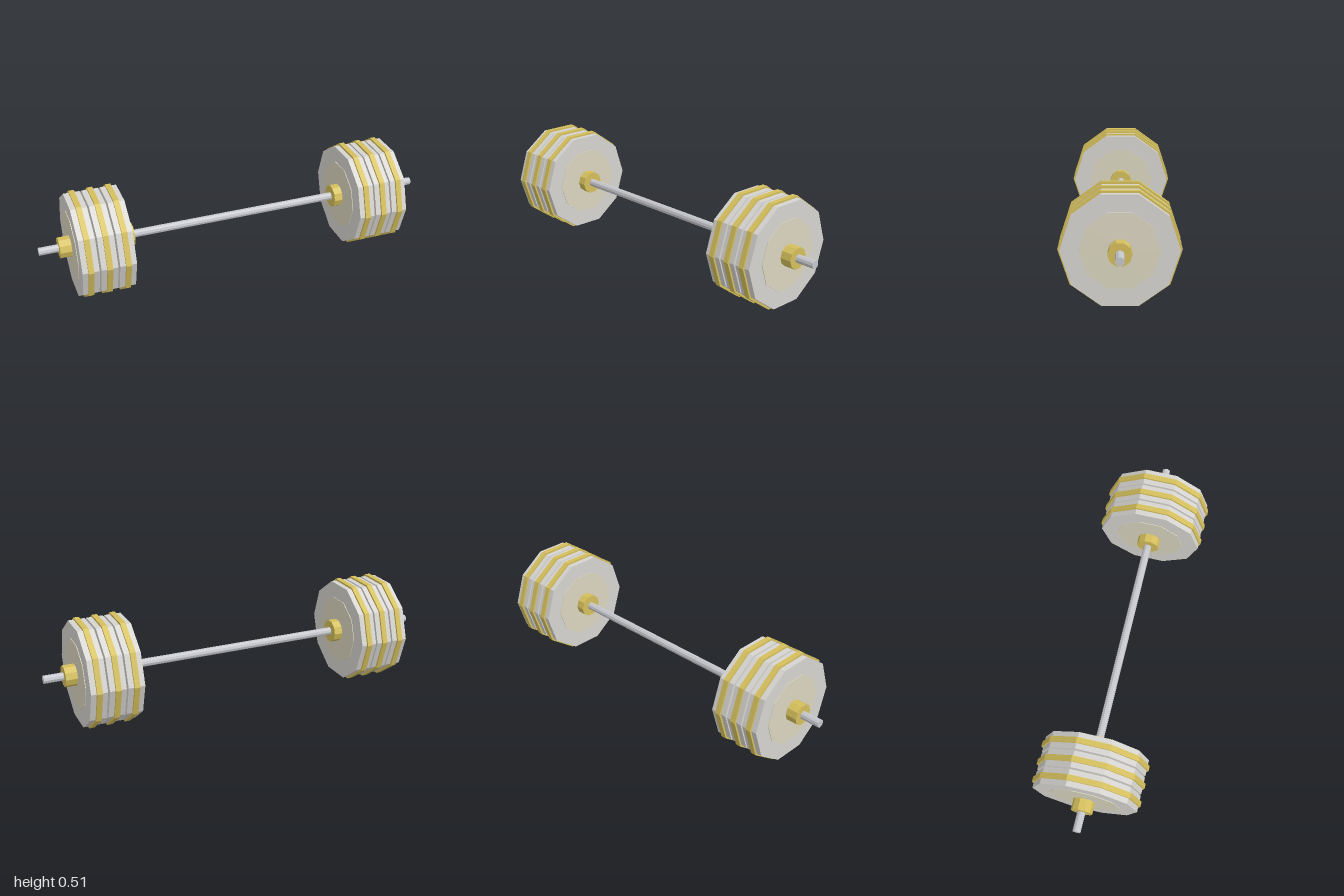
import * as THREE from 'three';

const SIDES = 10;
const RIM_RADIUS = 0.269;
const AXIS_Y = RIM_RADIUS * Math.cos(Math.PI / SIDES); // rims rest flat on the ground

const material = (color) => new THREE.MeshStandardMaterial({ color, flatShading: true });

// Ten-sided disc lying along the x axis, centred at x
function disc(name, radius, width, x, mat) {
  const geometry = new THREE.CylinderGeometry(radius, radius, width, SIDES);
  geometry.rotateZ(Math.PI / 2);
  const mesh = new THREE.Mesh(geometry, mat);
  mesh.name = name;
  mesh.position.x = x;
  return mesh;
}

export function createModel() {
  const model = new THREE.Group();
  model.name = 'barbell';

  const steel = material(0xc6c7cc);
  const plateGrey = material(0xd6d4d0);
  const gold = material(0xd4bf5c);
  const cream = material(0xdad5bf);

  // Long bar through everything
  model.add(disc('bar', 0.02, 2, 0, steel));

  for (const side of [1, -1]) {
    const stack = new THREE.Group();
    stack.name = side > 0 ? 'leftWeights' : 'rightWeights';

    // Three plates, each with a raised rim band and a slightly proud hub
    for (const x of [0.623, 0.7125, 0.802]) {
      const plate = new THREE.Group();
      plate.name = 'plate';
      plate.position.x = side * x;
      plate.add(
        disc('plateBody', 0.259, 0.081, 0, plateGrey),
        disc('plateRim', RIM_RADIUS, 0.027, 0, gold),
        disc('plateHub', 0.176, 0.087, 0, cream),
      );
      stack.add(plate);
    }

    // Collars holding the stack in place
    stack.add(
      disc('innerCollar', 0.058, 0.046, side * 0.558, gold),
      disc('outerCollar', 0.053, 0.058, side * 0.874, gold),
    );
    model.add(stack);
  }

  model.position.y = AXIS_Y;
  return model;
}
